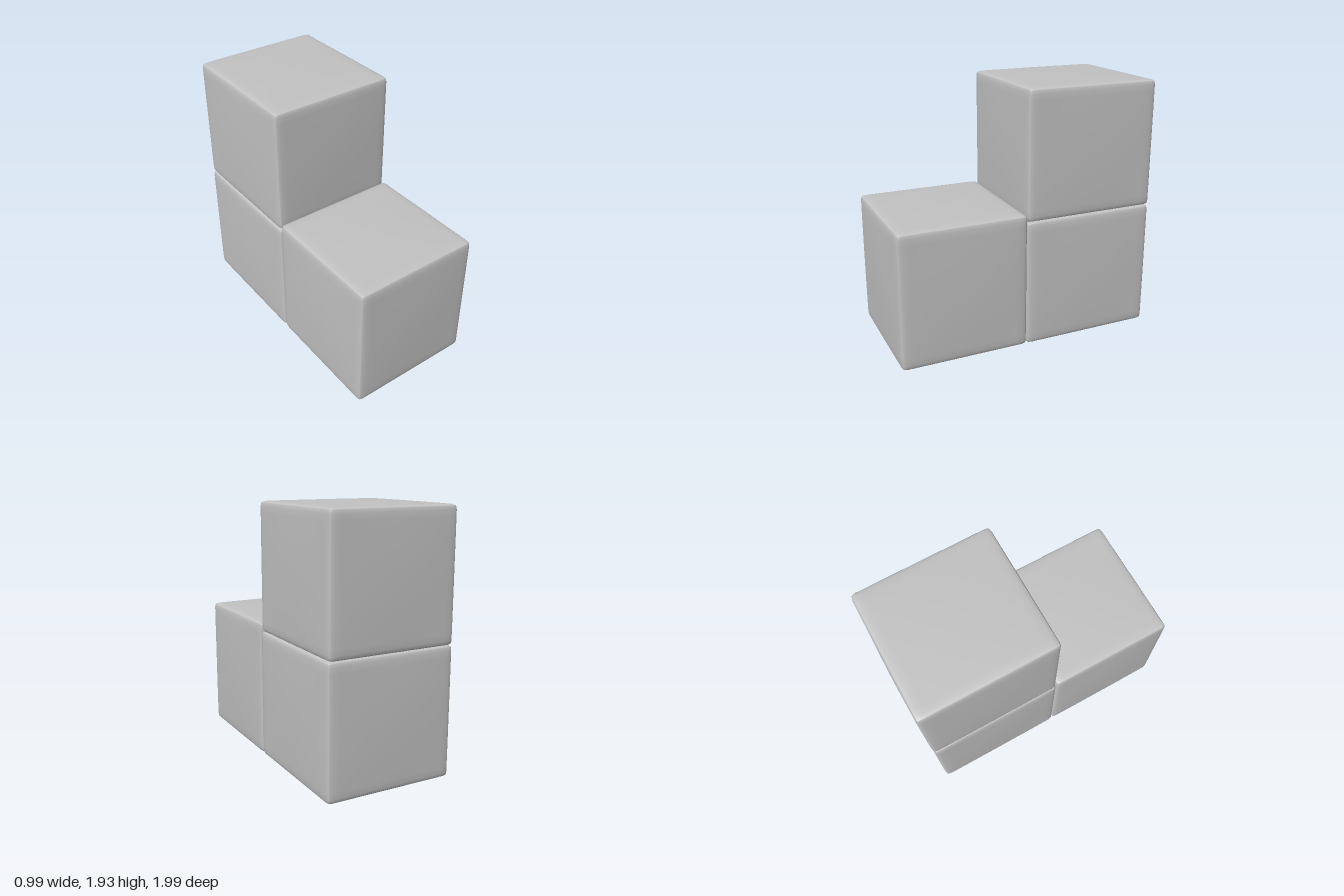
import * as THREE from 'three';
import { mergeVertices } from 'three/addons/utils/BufferGeometryUtils.js';

const HOLE = { x: 0.01, z: -0.21 };

// Region of the shared hollow inside the three blocks
function inHollow(x, y, z) {
  if (Math.abs(x) > 0.44) return false;
  const low = y > 0.06 && y < 0.99 && Math.abs(z) < 0.94;
  const tall = y > 0.06 && y < 1.87 && z > -0.94 && z < -0.01;
  return low || tall;
}

// Soft-edged, slightly swollen block between two corners, open to the hollow and the vent
function blockGeometry(min, max, bulge) {
  const n = 16, radius = 0.03;
  const size = max.map((v, i) => (v - min[i]) / 2);
  const centre = max.map((v, i) => (v + min[i]) / 2);
  let g = new THREE.BoxGeometry(2, 2, 2, n, n, n);
  g.deleteAttribute('normal');
  g.deleteAttribute('uv');
  g = mergeVertices(g);
  const pos = g.attributes.position;
  for (let i = 0; i < pos.count; i++) {
    // Crowd the grid lines towards the edges
    const u = [pos.getX(i), pos.getY(i), pos.getZ(i)].map(v => Math.sin(v * Math.PI / 2));
    const p = new THREE.Vector3(...u.map((v, k) => v * size[k]));
    const limit = new THREE.Vector3(...size).subScalar(radius);
    const core = p.clone().clamp(limit.clone().negate(), limit);
    p.sub(core).setLength(radius).add(core);
    const f = u.map(v => 1 - v * v);
    p.x *= 1 + bulge * f[1] * f[2];
    p.y *= 1 + bulge * f[0] * f[2];
    p.z *= 1 + bulge * f[0] * f[1];
    pos.setXYZ(i, p.x + centre[0], p.y + centre[1], p.z + centre[2]);
  }
  g.computeVertexNormals();

  const keep = [], index = g.index.array;
  for (let i = 0; i < index.length; i += 3) {
    const tri = [index[i], index[i + 1], index[i + 2]];
    const c = new THREE.Vector3();
    for (const t of tri) c.add(new THREE.Vector3().fromBufferAttribute(pos, t));
    c.divideScalar(3);
    const vent = c.y < 0.04 && Math.hypot(c.x - HOLE.x, c.z - HOLE.z) < 0.19;
    if (!vent && !inHollow(c.x, c.y, c.z)) keep.push(...tri);
  }
  g.setIndex(keep);
  return g;
}

export function createModel() {
  const model = new THREE.Group();
  model.name = 'steppedBlocks';
  const grey = new THREE.MeshStandardMaterial({ color: 0xc2c2c2 });
  grey.name = 'plainGrey';

  const add = (name, geometry) => {
    const mesh = new THREE.Mesh(geometry, grey);
    mesh.name = name;
    model.add(mesh);
    return mesh;
  };

  // Three blocks forming a step
  add('frontBlock', blockGeometry([-0.485, 0.025, 0.03], [0.485, 1.035, 0.985], 0.025));
  add('backLowerBlock', blockGeometry([-0.485, 0.025, -0.98], [0.485, 0.977, 0.03], 0.02));
  add('backUpperBlock', blockGeometry([-0.48, 0.977, -0.985], [0.48, 1.92, 0.025], 0.02));

  // Raised lip around the round vent underneath
  const lip = [[0.11, 0.06], [0.11, 0.004], [0.125, 0], [0.15, 0.008], [0.27, 0.012], [0.3, 0.018]];
  add('ventLip', new THREE.LatheGeometry(lip.map(p => new THREE.Vector2(...p)), 32))
    .position.set(HOLE.x, 0, HOLE.z);

  // Inward-facing walls of the hollow, seen through the vent
  const step = new THREE.Shape([[-0.95, 0.05], [0.95, 0.05], [0.95, 1.88], [0, 1.88], [0, 1], [-0.95, 1]]
    .map(p => new THREE.Vector2(...p)));
  const hollow = new THREE.ExtrudeGeometry(step, { depth: 0.9, bevelEnabled: false });
  hollow.translate(0, 0, -0.45).rotateY(Math.PI / 2).scale(-1, 1, 1);
  hollow.computeVertexNormals();
  add('innerWalls', hollow);

  return model;
}
